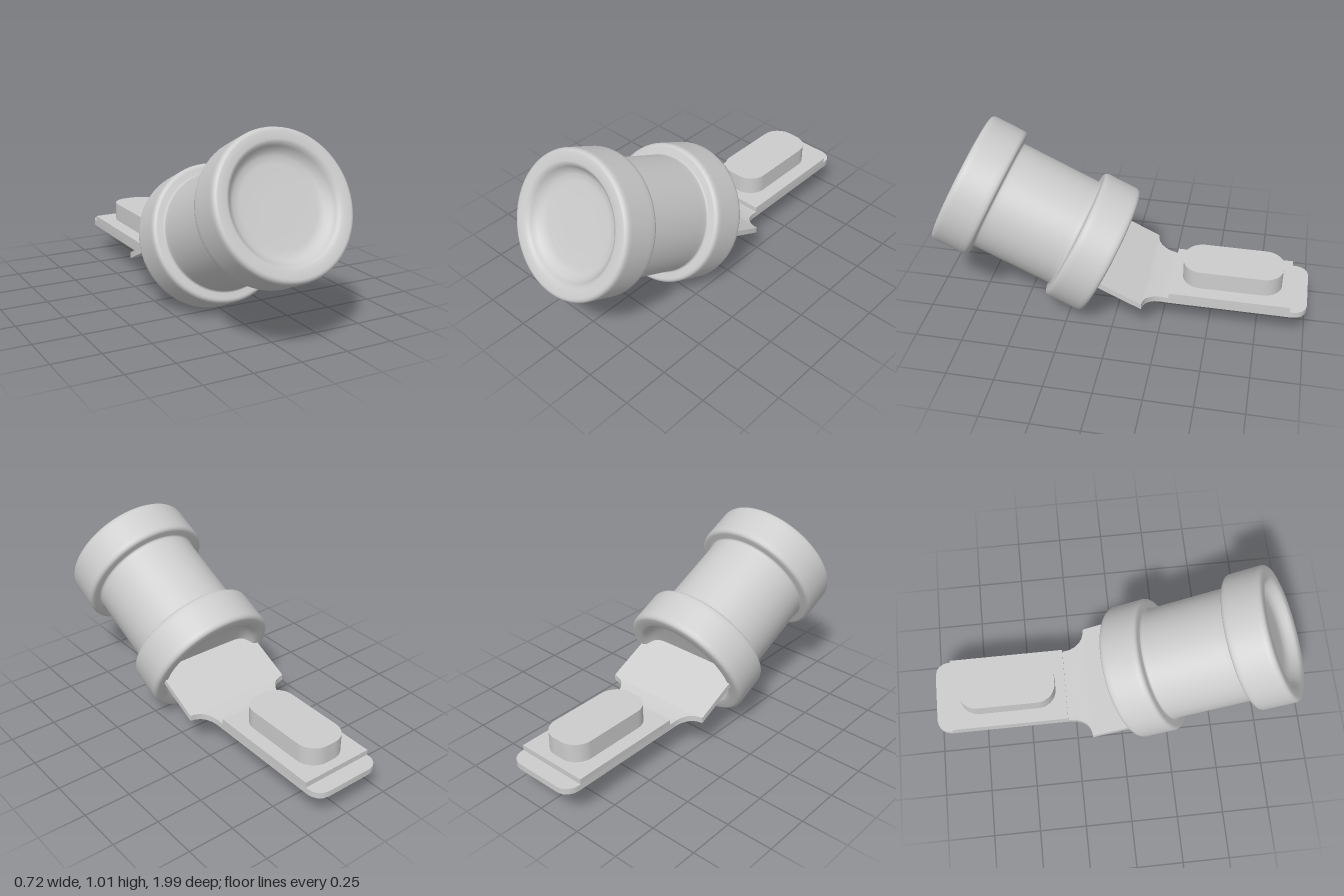
import * as THREE from 'three';
import { toCreasedNormals } from 'three/addons/utils/BufferGeometryUtils.js';

const LENGTH = 0.875, TILT = THREE.MathUtils.degToRad(64.6);

// Half of the spool: dished end, rounded collar, start of the narrow barrel
const halfProfile = [
  [0, 0.07], [0.1, 0.07], [0.2, 0.069], [0.235, 0.063], [0.258, 0.047], [0.272, 0.025],
  [0.281, 0.01], [0.297, 0], [0.338, 0], [0.348, 0.003], [0.356, 0.01], [0.36, 0.022],
  [0.36, 0.04], [0.36, 0.17], [0.36, 0.19], [0.356, 0.202], [0.348, 0.208], [0.338, 0.211],
  [0.31, 0.211], [0.303, 0.214], [0.3, 0.222], [0.3, 0.25],
];

// Strap stations running backwards: z, half width, underside height
const strapStations = [
  [0.13, 0.31, 0.348], [-0.13, 0.31, 0.224], [-0.155, 0.31, 0.212], [-0.166, 0.308, 0.207],
  [-0.168, 0.285, 0.206], [-0.178, 0.255, 0.203], [-0.195, 0.233, 0.198], [-0.22, 0.215, 0.192],
  [-0.25, 0.204, 0.185], [-0.285, 0.2, 0.18], [-0.93, 0.2, 0.18], [-0.955, 0.195, 0.18],
  [-0.978, 0.181, 0.18], [-0.993, 0.16, 0.18], [-1, 0.132, 0.18],
];

// Box whose cross-sections follow the station list
function strapGeometry(stations, thickness) {
  const n = stations.length - 1;
  const geo = new THREE.BoxGeometry(2, 1, 1, 1, 1, n);
  const p = geo.attributes.position;
  for (let i = 0; i < p.count; i++) {
    const [z, w, y] = stations[Math.round((0.5 - p.getZ(i)) * n)];
    p.setXYZ(i, p.getX(i) * w, y + (p.getY(i) + 0.5) * thickness, z);
  }
  return toCreasedNormals(geo, 0.6);
}

// Rounded rectangle in plan, raised upwards
function padGeometry(w, d, r, h) {
  const s = new THREE.Shape();
  const x = w / 2, y = d / 2;
  s.moveTo(x, -y + r);
  s.absarc(x - r, y - r, r, 0, Math.PI / 2);
  s.absarc(-x + r, y - r, r, Math.PI / 2, Math.PI);
  s.absarc(-x + r, -y + r, r, Math.PI, Math.PI * 1.5);
  s.absarc(x - r, -y + r, r, Math.PI * 1.5, Math.PI * 2);
  const geo = new THREE.ExtrudeGeometry(s, { depth: h, bevelEnabled: false, curveSegments: 10 });
  geo.rotateX(-Math.PI / 2);
  return toCreasedNormals(geo, 0.6);
}

export function createModel() {
  const group = new THREE.Group();
  const grey = new THREE.MeshStandardMaterial({ color: 0xcccccc });
  grey.name = 'light grey';

  const add = (name, geo, x = 0, y = 0, z = 0) => {
    const mesh = new THREE.Mesh(geo, grey);
    mesh.name = name;
    mesh.position.set(x, y, z);
    group.add(mesh);
    return mesh;
  };

  // Tilted spool with a collar and dish at each end
  const profile = [
    ...halfProfile,
    ...halfProfile.map(([r, s]) => [r, LENGTH - s]).reverse(),
  ].map(([r, s]) => new THREE.Vector2(r, s));
  add('spoolBarrel', new THREE.LatheGeometry(profile, 64), 0, 0.328, 0.057).rotation.x = TILT;

  // Bent strap, its raised plate and the rounded pad on top
  add('strap', strapGeometry(strapStations, 0.032));
  add('raisedPlate', new THREE.BoxGeometry(0.4, 0.035, 0.625), 0, 0.2235, -0.603);
  add('pad', padGeometry(0.25, 0.52, 0.1, 0.11), 0, 0.232, -0.605);

  return group;
}
